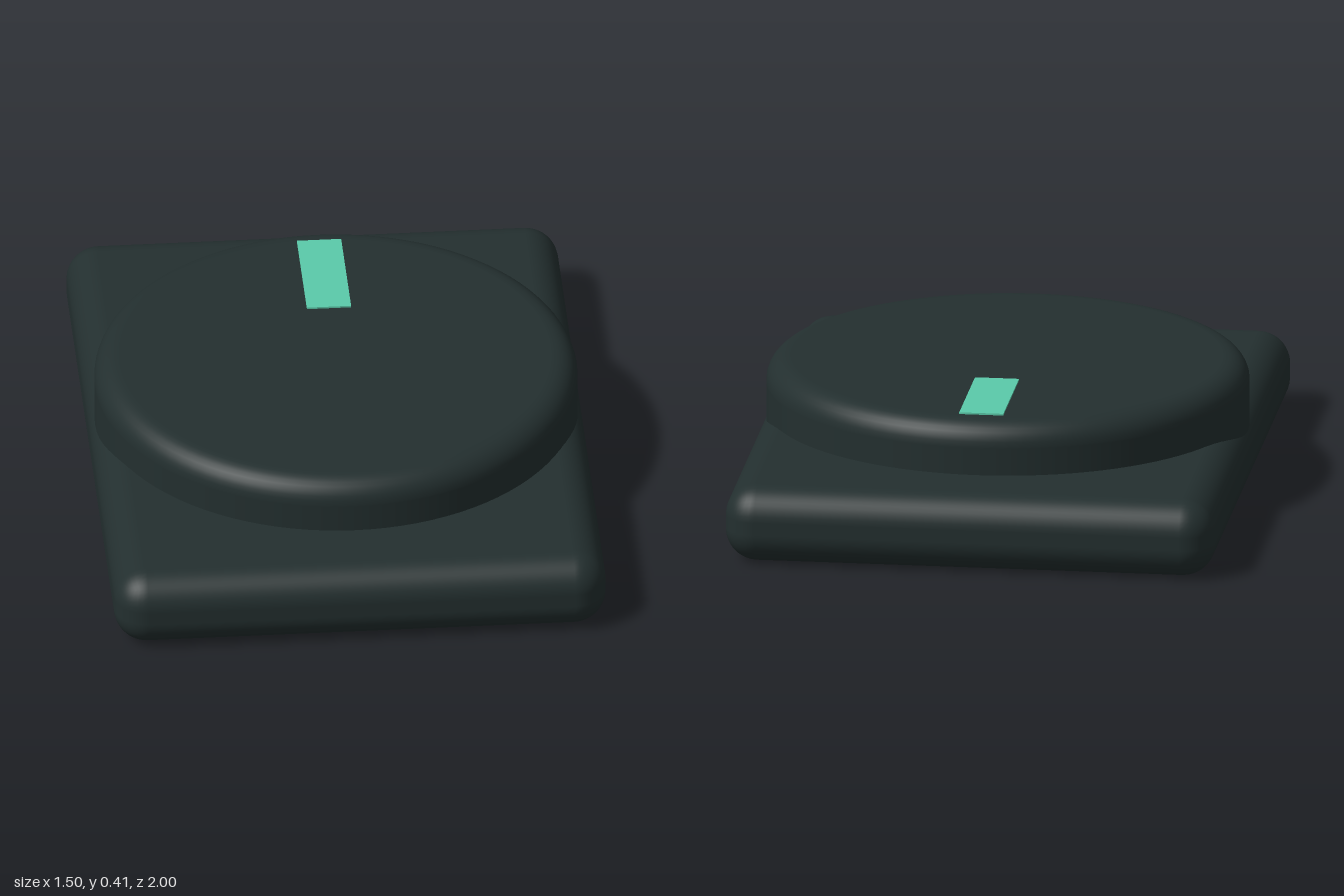
import * as THREE from 'three';
import { RoundedBoxGeometry } from 'three/addons/geometries/RoundedBoxGeometry.js';

export function createModel() {
  const model = new THREE.Group();
  const charcoal = new THREE.MeshStandardMaterial({ color: 0x232f2f });
  charcoal.name = 'charcoal';
  const mint = new THREE.MeshStandardMaterial({ color: 0x5bcbaa });
  mint.name = 'mint';

  const add = (name, geometry, material, x, y, z) => {
    const mesh = new THREE.Mesh(geometry, material);
    mesh.name = name;
    mesh.position.set(x, y, z);
    model.add(mesh);
  };

  // Base plate with rounded edges, standing on the ground
  add('basePlate', new RoundedBoxGeometry(1.5, 0.24, 2, 5, 0.1), charcoal, 0, 0.12, 0);

  // Round dial with a softened top rim
  const radius = 0.735, top = 0.405, bevel = 0.075;
  const profile = [new THREE.Vector2(radius, 0.1), new THREE.Vector2(radius, top - bevel - 0.005)];
  for (let i = 0; i <= 8; i++) {
    const a = (i / 8) * Math.PI / 2;
    profile.push(new THREE.Vector2(
      radius - bevel + bevel * Math.cos(a),
      top - bevel + bevel * Math.sin(a)
    ));
  }
  profile.push(new THREE.Vector2(radius - bevel - 0.005, top), new THREE.Vector2(0, top));
  add('dial', new THREE.LatheGeometry(profile, 96), charcoal, 0, 0, 0);

  // Thin pointer mark towards the back of the dial
  add('pointerMark', new THREE.BoxGeometry(0.135, 0.009, 0.38), mint, 0, 0.406, -0.455);

  return model;
}
